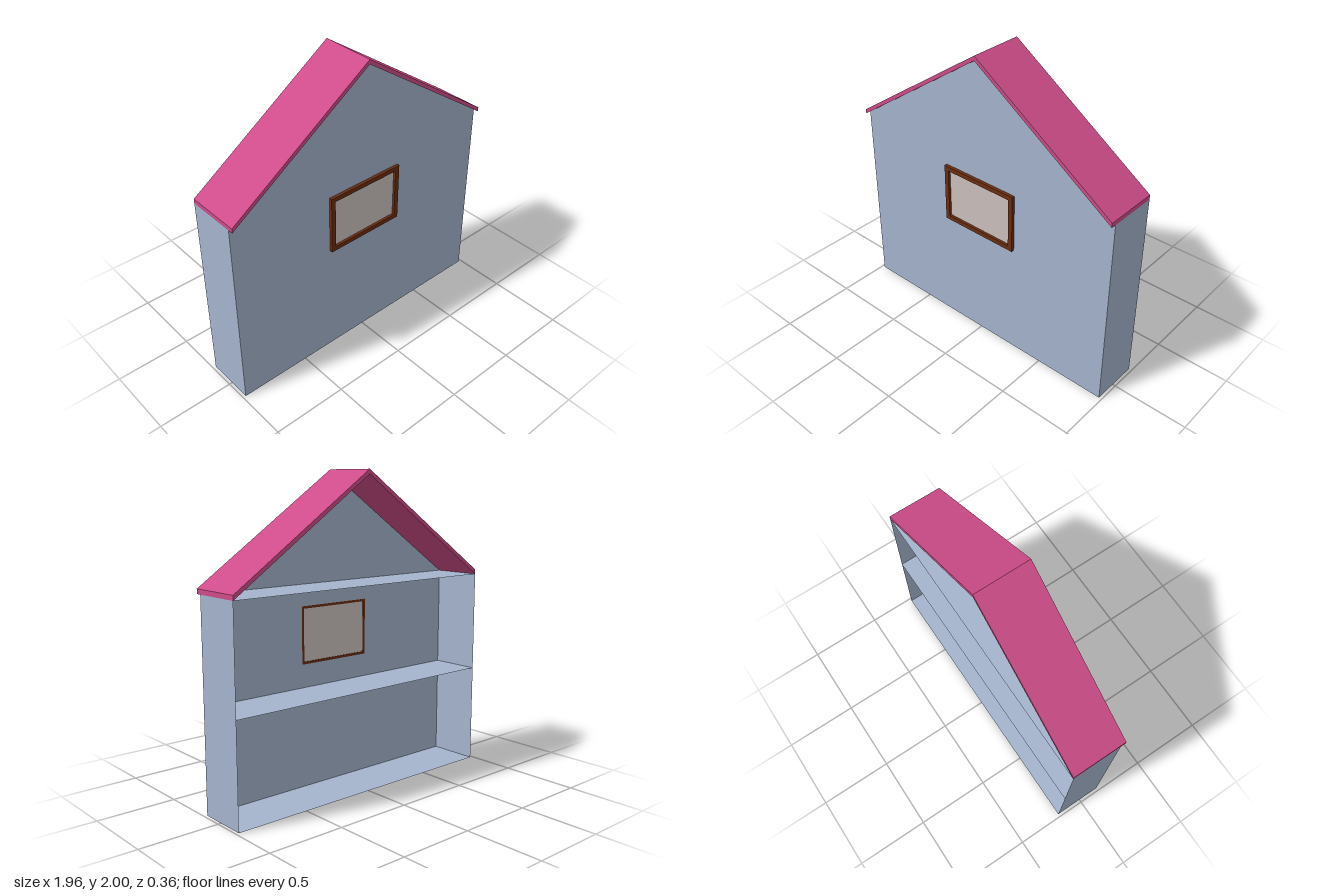
import * as THREE from 'three';

const HALF = 0.98, EAVE = 1.305, RIDGE = 1.97, THICK = 0.03;
const BACK = -0.182, FRONT = 0.147, ROOF_FRONT = 0.182;

function material(name, color, side = THREE.FrontSide) {
  const m = new THREE.MeshStandardMaterial({ color, side });
  m.name = name;
  return m;
}

function polygon(points, Type = THREE.Shape) {
  return new Type(points.map(([x, y]) => new THREE.Vector2(x, y)));
}

function rectangle(w, h, cy, Type) {
  return polygon([[-w, cy - h], [w, cy - h], [w, cy + h], [-w, cy + h]], Type);
}

export function createModel() {
  const house = new THREE.Group();
  house.name = 'dollhouse';
  const wallBlue = material('wall blue', 0xa4b3cd, THREE.DoubleSide);
  const roofPink = material('roof pink', 0xcd4c89);
  const frameBrown = material('frame brown', 0x6b2d10);
  const paneGrey = material('pane grey', 0xcac0be, THREE.DoubleSide);

  const add = (name, geometry, mat, x = 0, y = 0, z = 0) => {
    const mesh = new THREE.Mesh(geometry, mat);
    mesh.name = name;
    mesh.position.set(x, y, z);
    house.add(mesh);
    return mesh;
  };

  // Thin gabled front wall with a window opening
  const windowY = 0.983;
  const gable = polygon([[-HALF, 0], [HALF, 0], [HALF, EAVE], [0, RIDGE], [-HALF, EAVE]]);
  gable.holes.push(rectangle(0.263, 0.184, windowY, THREE.Path));
  add('frontWall', new THREE.ShapeGeometry(gable), wallBlue, 0, 0, FRONT);

  // Thin side walls; the back stays open
  const depth = FRONT - BACK, midZ = (FRONT + BACK) / 2;
  for (const [name, side] of [['leftWall', 1], ['rightWall', -1]]) {
    const wall = add(name, new THREE.PlaneGeometry(depth, EAVE), wallBlue, side * HALF, EAVE / 2, midZ);
    wall.rotation.y = side * Math.PI / 2;
  }

  // Ground floor, middle floor and attic floor
  [['groundFloor', 0], ['middleFloor', 0.65], ['atticFloor', EAVE]].forEach(([name, y]) => {
    const floor = add(name, new THREE.PlaneGeometry(2 * HALF, depth), wallBlue, 0, y, midZ);
    floor.rotation.x = -Math.PI / 2;
  });

  // Chevron roof, overhanging the front
  const chevron = polygon([
    [-HALF, EAVE], [0, RIDGE], [HALF, EAVE],
    [HALF, EAVE + THICK], [0, RIDGE + THICK], [-HALF, EAVE + THICK],
  ]);
  add('roof', new THREE.ExtrudeGeometry(chevron, { depth: ROOF_FRONT - BACK, bevelEnabled: false }),
    roofPink, 0, 0, BACK);

  // Window frame and pane
  const frame = rectangle(0.277, 0.198, windowY);
  frame.holes.push(rectangle(0.246, 0.168, windowY, THREE.Path));
  add('windowFrame', new THREE.ExtrudeGeometry(frame, { depth: 0.021, bevelEnabled: false }),
    frameBrown, 0, 0, FRONT + 0.001);
  add('windowPane', new THREE.PlaneGeometry(0.492, 0.336), paneGrey, 0, windowY, FRONT + 0.005);

  return house;
}
